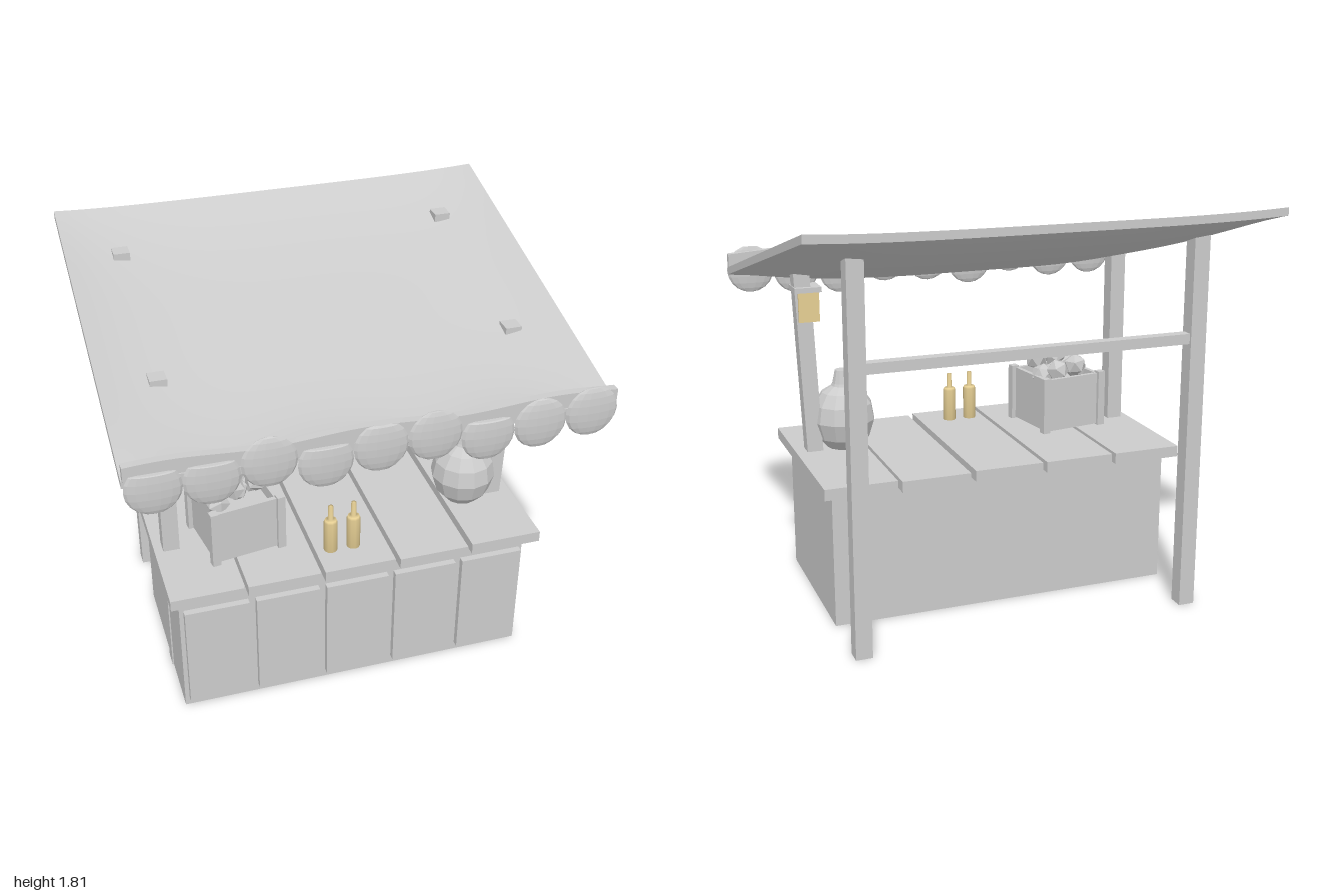
import * as THREE from 'three';

const grey = new THREE.MeshStandardMaterial({ color: 0xcccccc });
const flatGrey = new THREE.MeshStandardMaterial({ color: 0xcccccc, flatShading: true });
const straw = new THREE.MeshStandardMaterial({ color: 0xe6cf94 });

function add(parent, name, geometry, material = grey) {
  const mesh = new THREE.Mesh(geometry, material);
  mesh.name = name;
  parent.add(mesh);
  return mesh;
}

// Box given by its extents
function block(parent, name, x0, x1, y0, y1, z0, z1, material) {
  const g = new THREE.BoxGeometry(x1 - x0, y1 - y0, z1 - z0);
  g.translate((x0 + x1) / 2, (y0 + y1) / 2, (z0 + z1) / 2);
  return add(parent, name, g, material);
}

// Move every vertex by a rule
function reshape(geometry, rule) {
  const p = geometry.attributes.position;
  const v = new THREE.Vector3();
  for (let i = 0; i < p.count; i++) {
    v.fromBufferAttribute(p, i);
    rule(v);
    p.setXYZ(i, v.x, v.y, v.z);
  }
  geometry.computeVertexNormals();
  return geometry;
}

// Square post, leaning from xBottom to xTop
function post(parent, name, xBottom, xTop, y0, y1, z) {
  const g = new THREE.BoxGeometry(0.072, y1 - y0, 0.072);
  reshape(g, v => { v.x += v.y > 0 ? xTop : xBottom; v.y += (y0 + y1) / 2; v.z += z; });
  return add(parent, name, g);
}

function lathe(points, sides) {
  return new THREE.LatheGeometry(points.map(p => new THREE.Vector2(...p)), sides);
}

function makeCounter() {
  const counter = new THREE.Group();
  counter.name = 'counter';
  block(counter, 'cabinet', -0.787, 0.783, 0, 0.61, -0.24, 0.54);
  for (let i = 0; i < 5; i++) {
    const x = (i - 2) * 0.3135;
    block(counter, 'frontPanel', x - 0.141, x + 0.141, 0.04, 0.54, 0.53, 0.57);
  }
  const planks = [[-0.83, -0.515, 0], [-0.497, -0.18, 0], [-0.16, 0.155, 0], [0.178, 0.49, -0.007], [0.51, 0.83, 0]];
  for (const [x0, x1, dy] of planks) block(counter, 'topPlank', x0, x1, 0.61 + dy, 0.66 + dy, -0.31, 0.61);
  return counter;
}

function makeFrame() {
  const frame = new THREE.Group();
  frame.name = 'frame';
  post(frame, 'backPostRight', -0.755, -0.755, 0, 1.715, -0.545);
  post(frame, 'backPostLeft', 0.75, 0.745, 0, 1.715, -0.545);
  post(frame, 'frontPostRight', -0.757, -0.755, 0, 1.515, 0.235);
  post(frame, 'frontPostLeft', 0.74, 0.78, 0.57, 1.515, 0.235);
  block(frame, 'crossbar', -0.73, 0.73, 1.21, 1.255, -0.57, -0.52);
  return frame;
}

// Sagging cloth sheet, high at the back
function makeRoof() {
  const g = new THREE.BoxGeometry(2, 0.034, 1.61, 48, 1, 32);
  reshape(g, p => {
    const v = p.z / 0.805;
    const side = 1 - p.x ** 4;
    const ripple = 0.012 * Math.sin(p.x * 8) * side * Math.max(0, v) ** 4;
    p.z -= 0.022;
    p.y += 1.403 + (0.783 - p.z) * 0.244;
    p.y -= side * (0.072 * (1 - v ** 4) + 0.015) + ripple;
  });
  return add(new THREE.Group(), 'clothRoof', g);
}

// Wavy strip with hanging rounded flaps
function makeValance() {
  const valance = new THREE.Group();
  valance.name = 'valance';
  const strip = new THREE.BoxGeometry(1.99, 0.065, 0.035, 48, 1, 1);
  reshape(strip, v => { v.y += 1.455 + 0.01 * Math.sin(v.x * 8 + 2); v.z += 0.79; });
  add(valance, 'valanceStrip', strip);
  const bottoms = [1.27, 1.27, 1.305, 1.26, 1.29, 1.30, 1.258, 1.275, 1.29];
  const tops = [1.45, 1.45, 1.53, 1.44, 1.50, 1.52, 1.44, 1.50, 1.51];
  bottoms.forEach((bottom, i) => {
    const flap = new THREE.SphereGeometry(0.112, 14, 10);
    reshape(flap, v => {
      v.y = Math.min(v.y + bottom + 0.112, tops[i]);
      v.x += (i - 4) * 0.2215;
      v.z = 0.811 + v.z * 0.2;
    });
    add(valance, 'valanceFlap', flap, flatGrey);
  });
  return valance;
}

function makeCrate() {
  const crate = new THREE.Group();
  crate.name = 'fruitCrate';
  const h = 0.14;
  block(crate, 'crateFilling', -h, h, 0, 0.2, -h, h);
  for (const s of [-1, 1]) {
    const a = s * h - 0.01, b = s * h + 0.01;
    block(crate, 'crateWall', a, b, 0.005, 0.255, -h, h);
    block(crate, 'crateWall', -h, h, 0.005, 0.255, a, b);
    for (const t of [-1, 1]) {
      const x = s * 0.152, z = t * 0.148;
      block(crate, 'cratePost', x - 0.018, x + 0.018, 0, 0.265, z - 0.018, z + 0.018);
    }
  }
  // Heaped fruit
  const fruit = [[-0.11, 0.27, 0.09], [-0.03, 0.31, 0.07], [0.085, 0.31, 0.05],
    [-0.06, 0.29, -0.07], [0.05, 0.28, -0.09], [0.01, 0.25, 0.0], [-0.11, 0.25, 0.0], [0.1, 0.25, -0.03]];
  fruit.forEach(([x, y, z], i) => {
    const f = add(crate, 'fruit', new THREE.IcosahedronGeometry(0.055, 0), flatGrey);
    f.position.set(x, y, z);
    f.rotation.set(i * 0.7, i, 0);
  });
  crate.position.set(-0.465, 0.662, 0.25);
  crate.rotation.y = 0.15;
  return crate;
}

export function createModel() {
  const stall = new THREE.Group();
  stall.name = 'marketStall';
  stall.add(makeCounter(), makeFrame(), makeRoof(), makeValance(), makeCrate());

  // Round jar with a stopper
  const jar = add(stall, 'jar', lathe([[0, 0], [0.075, 0], [0.12, 0.05], [0.145, 0.13], [0.132, 0.205],
    [0.095, 0.26], [0.05, 0.288], [0.045, 0.3], [0.032, 0.36], [0, 0.36]], 12), flatGrey);
  jar.position.set(0.6, 0.66, 0.245);

  // Pair of bottles
  for (const x of [-0.093, 0.01]) {
    const bottle = add(stall, 'bottle', lathe([[0, 0], [0.03, 0], [0.03, 0.15], [0.026, 0.16],
      [0.012, 0.163], [0.011, 0.23], [0, 0.23]], 10), straw);
    bottle.position.set(x, 0.66, 0.46);
  }

  // Lantern around the front post
  const lantern = new THREE.Group();
  lantern.name = 'lantern';
  block(lantern, 'lanternBody', 0.705, 0.798, 1.262, 1.4, 0.188, 0.283, straw);
  block(lantern, 'lanternCap', 0.695, 0.815, 1.395, 1.418, 0.177, 0.297);
  stall.add(lantern);
  return stall;
}
